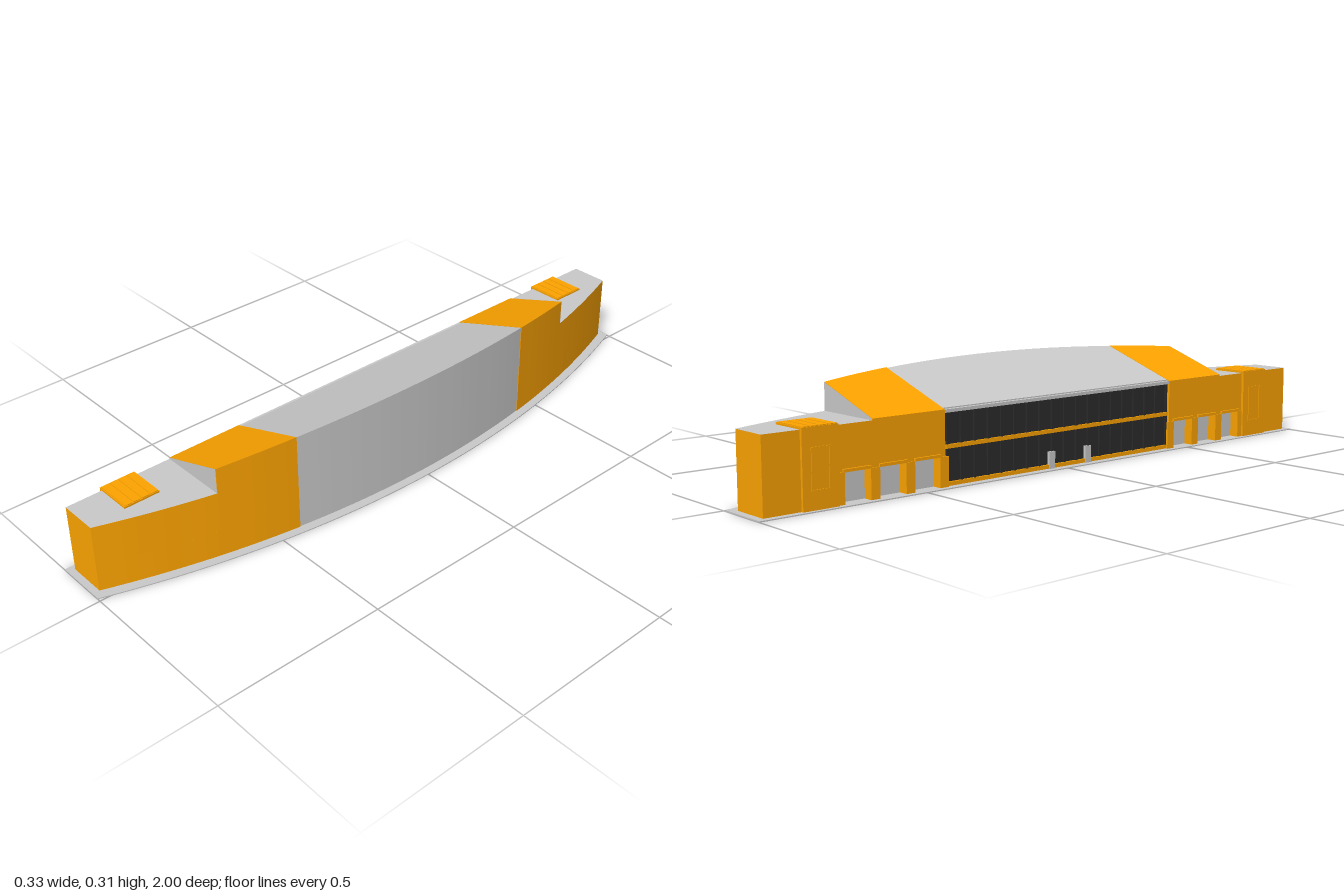
import * as THREE from 'three';

const grey = new THREE.MeshStandardMaterial({ color: 0xcccccc, side: THREE.DoubleSide });
const orange = new THREE.MeshStandardMaterial({ color: 0xffa500, side: THREE.DoubleSide });
const dark = new THREE.MeshStandardMaterial({ color: 0x2c2c2c });

// x of the curved front at a given z, and height of the sloping roof at a given x
const arc = (z, apex = 0.141, r = 2.84) => apex - r + Math.sqrt(r * r - z * z);
const slope = (x) => 0.26 + 0.34 * x;
const FLAT = 0.205;
const BACK = -0.149;

export function createModel() {
  const model = new THREE.Group();

  function add(parent, name, geometry, material) {
    const mesh = new THREE.Mesh(geometry, material);
    mesh.name = name;
    parent.add(mesh);
    return mesh;
  }

  function box(parent, name, material, x0, x1, y0, y1, z0, z1) {
    const g = new THREE.BoxGeometry(x1 - x0, y1 - y0, Math.abs(z1 - z0));
    g.translate((x0 + x1) / 2, (y0 + y1) / 2, (z0 + z1) / 2);
    return add(parent, name, g, material);
  }

  // Block with a straight back and a curved front; its top follows topFn(x)
  function block(parent, name, materials, z0, z1, back, y0, topFn, front = arc) {
    const steps = Math.max(3, Math.ceil(Math.abs(z1 - z0) * 28));
    const shape = new THREE.Shape();
    shape.moveTo(back, -z0);
    for (let i = 0; i <= steps; i++) {
      const z = z0 + ((z1 - z0) * i) / steps;
      shape.lineTo(front(z), -z);
    }
    shape.lineTo(back, -z1);
    shape.closePath();
    const g = new THREE.ExtrudeGeometry(shape, { depth: 1, bevelEnabled: false });
    g.rotateX(-Math.PI / 2);
    const p = g.attributes.position;
    for (let i = 0; i < p.count; i++) {
      p.setY(i, p.getY(i) > 0.5 ? topFn(p.getX(i)) : y0);
    }
    g.computeVertexNormals();
    return add(parent, name, g, materials);
  }

  // Ground slab
  block(model, 'groundSlab', grey, -1, 1, -0.167, 0, () => 0.003,
    (z) => arc(z, 0.165, 2.945));

  // Central hall with its curved front wall and sloping roof
  const hall = new THREE.Group();
  hall.name = 'centralHall';
  model.add(hall);
  block(hall, 'hallBody', grey, -0.43, 0.43, -0.138, 0.001, (x) => slope(x) - 0.001,
    (z) => arc(z, 0.139));
  box(hall, 'roofEdge', grey, BACK, -0.137, 0.2, 0.209, -0.43, 0.43);

  // Glazed rear wall
  box(hall, 'glazing', dark, -0.142, -0.137, 0.004, 0.2, -0.425, 0.425);
  for (let i = 0; i <= 18; i++) {
    const z = -0.42 + (0.84 * i) / 18;
    box(hall, 'mullion', dark, -0.147, -0.142, 0.004, 0.2, z - 0.003, z + 0.003);
  }
  for (const y of [0.004, 0.104]) {
    box(hall, 'windowRail', orange, -0.148, -0.141, y, y + 0.011, -0.425, 0.425);
  }
  for (const z of [-0.05, 0.09]) {
    box(hall, 'rearDoor', grey, -0.15, -0.141, 0.003, 0.052, z - 0.011, z + 0.011);
  }

  // Mirrored wings
  for (const s of [-1, 1]) {
    const wing = new THREE.Group();
    wing.name = s > 0 ? 'frontWing' : 'rearWing';
    model.add(wing);
    const span = (a, b) => (s > 0 ? [a, b] : [-b, -a]);
    const arcadeTop = 0.085;

    // Upper storeys above the arcade, then the ground floor set back behind it
    block(wing, 'slopedWing', orange, ...span(0.43, 0.66), BACK, arcadeTop, slope);
    block(wing, 'lowWing', [grey, orange], ...span(0.66, 0.98), BACK, arcadeTop, () => FLAT);
    block(wing, 'groundFloor', orange, ...span(0.43, 0.77), -0.12, 0.001, () => arcadeTop);
    block(wing, 'endGroundFloor', orange, ...span(0.77, 0.98), BACK, 0.001, () => arcadeTop);

    // Arcade: grey inner wall and square columns
    box(wing, 'arcadeWall', grey, -0.123, -0.119, 0.003, arcadeTop, ...span(0.432, 0.77));
    for (const z of [0.435, 0.545, 0.655, 0.762]) {
      const half = 0.014;
      box(wing, 'arcadeColumn', orange, -0.152, -0.121, 0.002, arcadeTop, ...span(z - half, z + half));
    }
    for (const z of [0.49, 0.6, 0.71]) {
      box(wing, 'openingLintel', orange, -0.155, BACK, arcadeTop, arcadeTop + 0.008, ...span(z - 0.043, z + 0.043));
    }

    // Grey gable above the low roof
    const xf = arc(0.66);
    const gable = new THREE.Shape([
      new THREE.Vector2(BACK, FLAT), new THREE.Vector2(xf, FLAT),
      new THREE.Vector2(xf, slope(xf)), new THREE.Vector2(BACK, slope(BACK)),
    ]);
    add(wing, 'gable', new THREE.ShapeGeometry(gable), grey).position.z = s * 0.6612;

    // Stair tower with a ribbed cap and a framed rear panel
    box(wing, 'stairTower', orange, -0.157, -0.042, 0.001, 0.21, ...span(0.767, 0.873));
    for (let i = 0; i < 4; i++) {
      const z = 0.77 + i * 0.026;
      box(wing, 'towerRib', orange, -0.155, -0.044, 0.209, 0.212, ...span(z, z + 0.022));
    }
    for (const z of [0.792, 0.844]) {
      box(wing, 'panelJamb', orange, -0.159, -0.156, 0.05, 0.16, ...span(z, z + 0.004));
    }
    for (const y of [0.05, 0.156]) {
      box(wing, 'panelRail', orange, -0.159, -0.156, y, y + 0.004, ...span(0.792, 0.848));
    }
  }

  return model;
}
